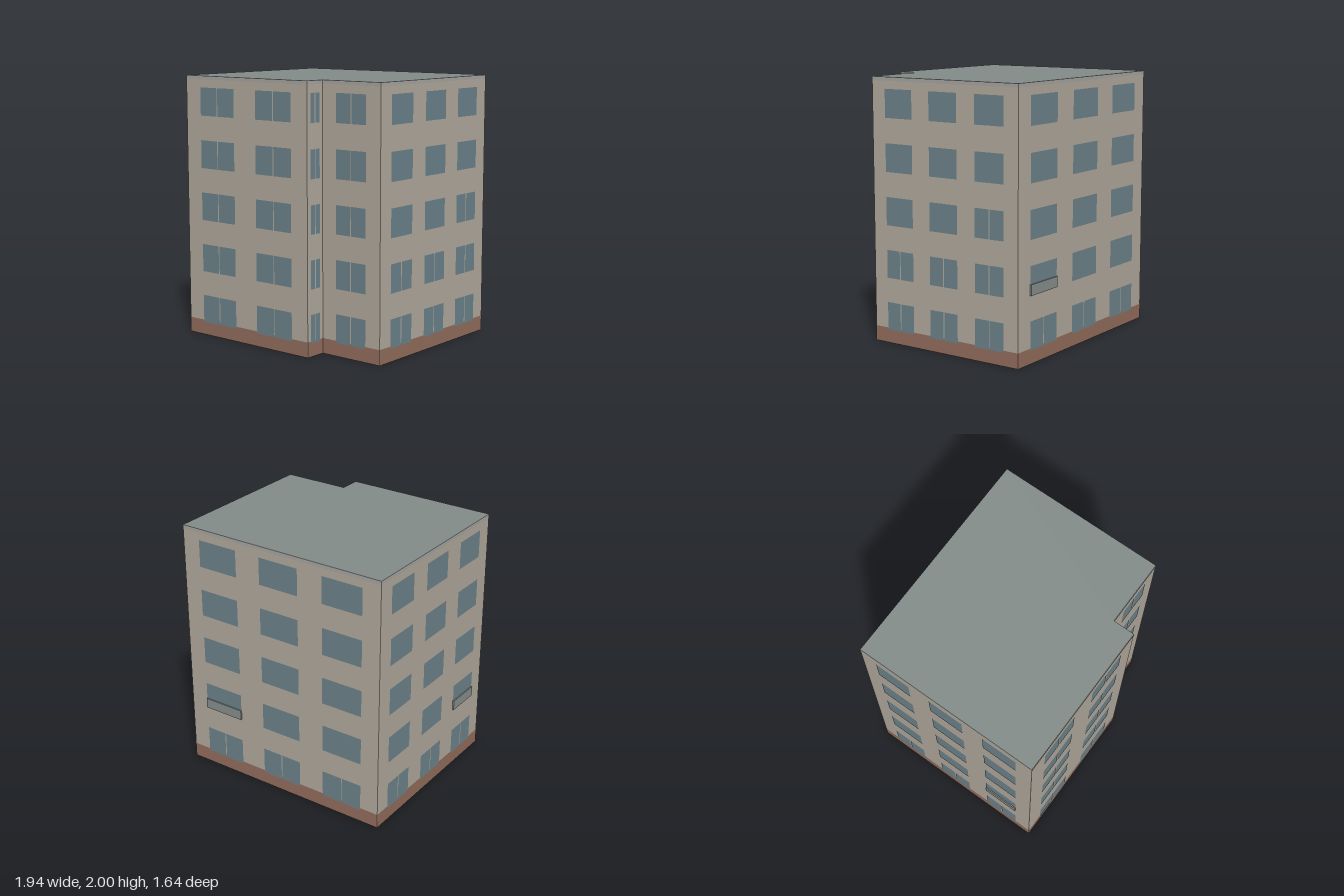
import * as THREE from 'three';

const material = (color) => new THREE.MeshStandardMaterial({ color, side: THREE.DoubleSide });
const wallMat = material(0xb5ada0);
const plinthMat = material(0x96705f);
const glassMat = material(0x6f868e);
const roofMat = material(0x848d8a);
const corniceMat = material(0xaaa9a5);
const railMat = material(0x8a9290);

const HEIGHT = 2, FLOORS = 5, FLOOR_STEP = 0.4, SILL = 0.1, WIN_H = 0.213;
const INSET = 0.043, MULLION = 0.008;

// Corners (x, z), walked left to right as seen from outside
const corners = [[-0.972, 0.627], [0.224, 0.817], [0.25, 0.65], [0.768, 0.731], [0.97, -0.565], [-0.748, -0.822]];

// One entry per wall: window columns, which windows have two panes, balcony column
const walls = [
  { name: 'frontWall', columns: 2, split: () => true },
  { name: 'stepWall', columns: 1, split: () => true, width: 0.1 },
  { name: 'recessedFrontWall', columns: 1, split: () => true },
  { name: 'rightWall', columns: 3, split: (f, c) => f < 2 || (f === 2 && c === 2) },
  { name: 'backWall', columns: 3, split: (f) => f === 0, balcony: 0 },
  { name: 'leftWall', columns: 3, split: (f) => f === 0, balcony: 2 },
];

// Flat panel standing in front of a wall
function panel(parent, name, mat, width, height, x, bottom, z) {
  const mesh = new THREE.Mesh(new THREE.PlaneGeometry(width, height), mat);
  mesh.name = name;
  mesh.position.set(x, bottom + height / 2, z);
  parent.add(mesh);
}

function buildWall(spec, a, b) {
  const dx = b[0] - a[0], dz = b[1] - a[1], length = Math.hypot(dx, dz);
  const wall = new THREE.Group();
  wall.name = spec.name;
  wall.position.set((a[0] + b[0]) / 2, 0, (a[1] + b[1]) / 2);
  wall.rotation.y = Math.atan2(-dz, dx);

  panel(wall, 'facade', wallMat, length, HEIGHT, 0, 0, 0);
  // Front-only faces so the inside shows the plain wall
  panel(wall, 'plinth', plinthMat, length, 0.115, 0, 0, 0.0015);
  panel(wall, 'cornice', corniceMat, length, 0.028, 0, HEIGHT - 0.028, 0.0015);

  const cell = (length - 2 * INSET) / spec.columns;
  const width = spec.width ?? cell * 0.615;
  for (let f = 0; f < FLOORS; f++) {
    for (let c = 0; c < spec.columns; c++) {
      const x = (c - (spec.columns - 1) / 2) * cell;
      const y = SILL + f * FLOOR_STEP;
      if (spec.split(f, c)) {
        const pane = (width - MULLION) / 2;
        for (const s of [-1, 1]) {
          panel(wall, 'windowPane', glassMat, pane, WIN_H, x + s * (pane + MULLION) / 2, y, 0.003);
        }
      } else {
        panel(wall, 'window', glassMat, width, WIN_H, x, y, 0.003);
      }
      // Shallow balcony guard on the second storey
      if (f === 1 && c === spec.balcony) {
        const guard = new THREE.Mesh(new THREE.BoxGeometry(width, 0.08, 0.012), railMat);
        guard.name = 'balconyGuard';
        guard.position.set(x, y + 0.04, 0.006);
        wall.add(guard);
      }
    }
  }
  return wall;
}

export function createModel() {
  const model = new THREE.Group();
  model.name = 'apartmentBlock';
  for (const mat of [plinthMat, glassMat, corniceMat]) mat.side = THREE.FrontSide;

  walls.forEach((spec, i) => model.add(buildWall(spec, corners[i], corners[(i + 1) % corners.length])));

  // Flat roof; the underside of the building stays open
  const outline = new THREE.Shape(corners.map(([x, z]) => new THREE.Vector2(x, -z)));
  const roof = new THREE.Mesh(new THREE.ShapeGeometry(outline), roofMat);
  roof.name = 'roof';
  roof.rotation.x = -Math.PI / 2;
  roof.position.y = HEIGHT;
  model.add(roof);
  return model;
}
